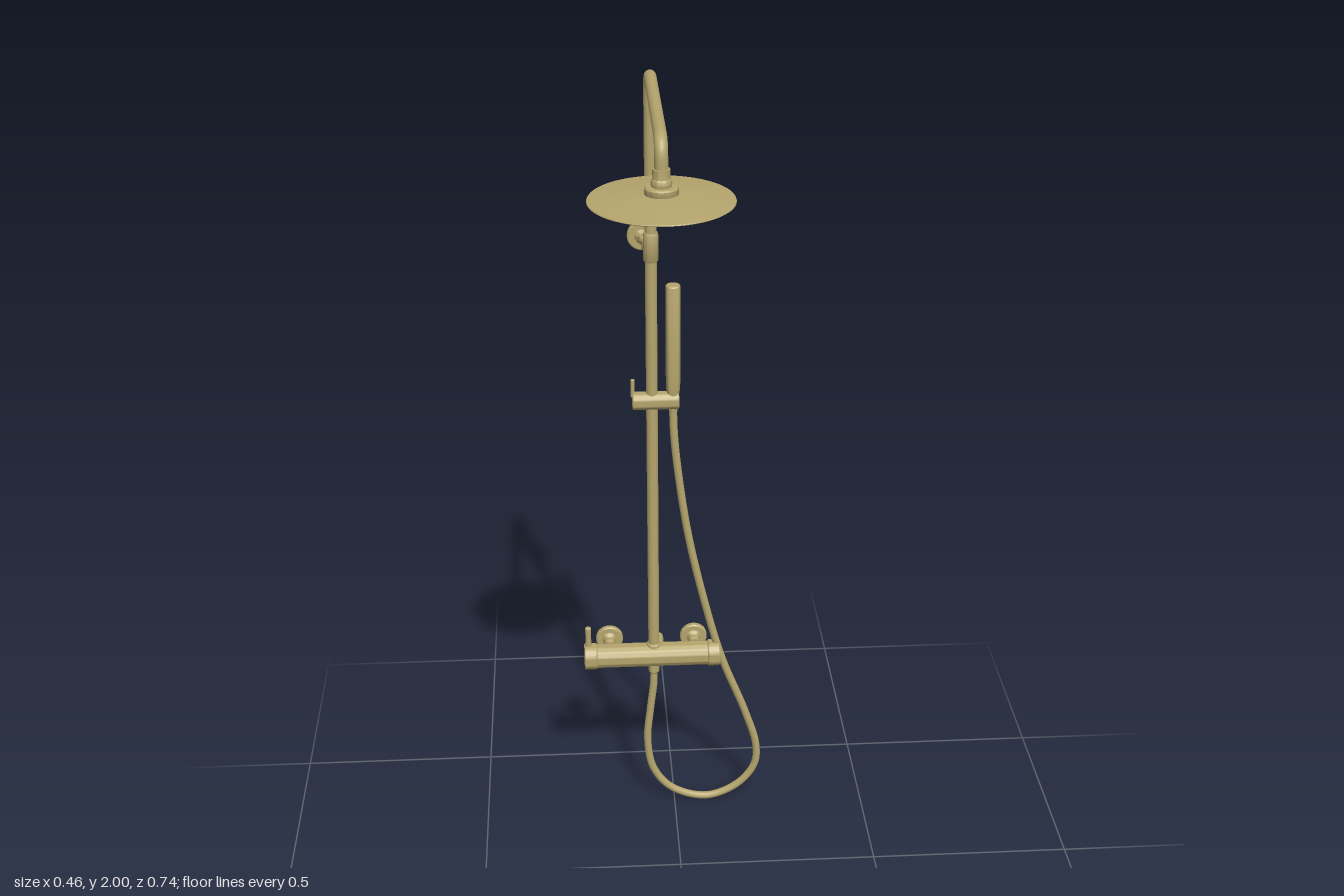
import * as THREE from 'three';
import { toCreasedNormals } from 'three/addons/utils/BufferGeometryUtils.js';

const V = (x, y, z) => new THREE.Vector3(x, y, z);
const PIPE_X = -0.053, AXIS_Z = -0.276, MIXER_Y = 0.468;

export function createModel() {
  const model = new THREE.Group();
  const brass = new THREE.MeshStandardMaterial({ color: 0xb5a56d });
  brass.name = 'brushedBrass';

  const add = (name, geometry, parent = model) => {
    const mesh = new THREE.Mesh(geometry, brass);
    mesh.name = name;
    parent.add(mesh);
    return mesh;
  };

  // Turned part: [radius, height] profile revolved from a base point along a direction
  const turned = (name, profile, base, dir = V(0, 1, 0), segments = 40, parent = model) => {
    const lathe = new THREE.LatheGeometry(profile.map(([r, h]) => new THREE.Vector2(r, h)), segments);
    const mesh = add(name, toCreasedNormals(lathe, 0.6), parent);
    mesh.position.copy(base);
    mesh.quaternion.setFromUnitVectors(V(0, 1, 0), dir.clone().normalize());
    return mesh;
  };
  const rod = (r, length, bevel = 0.002) => [
    [0, 0], [r - bevel, 0], [r, bevel], [r, length - bevel], [r - bevel, length], [0, length],
  ];

  // Riser pipe with rounded bends and overhead arm
  const headZ = 0.22, topY = 1.986, bend = 0.042;
  const arm = new THREE.CurvePath();
  const p = (y, z) => V(PIPE_X, y, z);
  arm.add(new THREE.LineCurve3(p(MIXER_Y, AXIS_Z), p(topY - bend, AXIS_Z)));
  arm.add(new THREE.QuadraticBezierCurve3(p(topY - bend, AXIS_Z), p(topY, AXIS_Z), p(topY, AXIS_Z + bend)));
  arm.add(new THREE.LineCurve3(p(topY, AXIS_Z + bend), p(topY, headZ - bend)));
  arm.add(new THREE.QuadraticBezierCurve3(p(topY, headZ - bend), p(topY, headZ), p(topY - bend, headZ)));
  arm.add(new THREE.LineCurve3(p(topY - bend, headZ), p(1.9, headZ)));
  add('riserPipe', new THREE.TubeGeometry(arm, 300, 0.014, 20));

  // Overhead shower head: shallow disc, collar, swivel and nozzles
  const head = new THREE.Group();
  head.name = 'showerHead';
  head.position.set(PIPE_X, 1.862, headZ);
  model.add(head);
  turned('headDisc', [[0, 0], [0.148, 0], [0.151, 0.002], [0.15, 0.004], [0.1, 0.009], [0.035, 0.017], [0, 0.017]],
    V(0, 0, 0), V(0, 1, 0), 72, head);
  turned('headCollar', [[0, 0.015], [0.034, 0.015], [0.035, 0.017], [0.035, 0.029], [0.032, 0.032], [0, 0.032]],
    V(0, 0, 0), V(0, 1, 0), 40, head);
  turned('headSwivel', [[0, 0.03], [0.02, 0.03], [0.022, 0.038], [0.02, 0.046], [0.018, 0.048], [0.018, 0.068], [0, 0.068]],
    V(0, 0, 0), V(0, 1, 0), 32, head);
  const nozzle = new THREE.CylinderGeometry(0.0035, 0.0022, 0.004, 8);
  for (let ring = 1; ring <= 7; ring++) {
    const count = ring * 8;
    for (let i = 0; i < count; i++) {
      const a = (i + (ring % 2) / 2) / count * Math.PI * 2;
      add('nozzle', nozzle, head).position.set(Math.cos(a) * ring * 0.0195, -0.0015, Math.sin(a) * ring * 0.0195);
    }
  }

  // Upper wall bracket: sleeve, angled stem and round wall flange
  turned('bracketSleeve', [[0.013, 0], [0.016, 0], [0.018, 0.004], [0.018, 0.064], [0.016, 0.07], [0.013, 0.07]],
    p(1.545, AXIS_Z));
  const stemStart = p(1.575, AXIS_Z), stemEnd = V(-0.07, 1.575, -0.362);
  const stemDir = stemEnd.clone().sub(stemStart);
  turned('bracketStem', [[0, 0], [0.018, 0], [0.018, 0.016], [0.011, 0.028], [0.01, 0.05], [0.014, 0.058],
    [0.014, 0.068], [0.011, 0.074], [0.018, 0.084], [0.018, 0.088]], stemStart, stemDir);
  const flange = rod(0.035, 0.016, 0.003);
  turned('bracketFlange', flange, V(-0.07, 1.575, -0.357), V(0, 0, -1));

  // Thermostatic mixer bar with end caps
  const alongX = V(1, 0, 0), toWall = V(0, 0, -1);
  turned('mixerBody', rod(0.031, 0.3), V(-0.208, MIXER_Y, AXIS_Z), alongX, 48);
  turned('temperatureKnob', rod(0.034, 0.034, 0.003), V(-0.232, MIXER_Y, AXIS_Z), alongX, 48);
  turned('flowKnob', rod(0.034, 0.032, 0.003), V(0.085, MIXER_Y, AXIS_Z), alongX, 48);
  turned('knobLever', rod(0.0075, 0.06), V(-0.221, 0.495, AXIS_Z), V(0, 1, 0), 20);

  // Wall unions behind the mixer
  for (const x of [-0.165, 0.055]) {
    turned('wallUnion', [[0, 0], [0.027, 0], [0.024, 0.006], [0.017, 0.012], [0.011, 0.02], [0.011, 0.026],
      [0.015, 0.034], [0.015, 0.042], [0.011, 0.05], [0.015, 0.056], [0.024, 0.06]], V(x, MIXER_Y - 0.002, -0.299), toWall);
    turned('wallFlange', flange, V(x, MIXER_Y - 0.002, -0.357), toWall);
  }
  turned('rearOutlet', rod(0.015, 0.077), V(-0.039, MIXER_Y - 0.008, -0.296), toWall, 28);

  // Pipe joint on top of the bar and hose outlet beneath it
  turned('riserJoint', [[0.013, 0], [0.018, 0], [0.018, 0.034], [0.016, 0.037], [0.013, 0.037]], p(MIXER_Y, AXIS_Z));
  turned('hoseOutlet', [[0, 0], [0.011, 0], [0.014, 0.004], [0.014, 0.03], [0, 0.03]], p(0.415, AXIS_Z), V(0, 1, 0), 24);

  // Sliding holder with clamp lever
  turned('sliderHolder', rod(0.022, 0.112, 0.002), V(-0.1, 1.19, AXIS_Z), alongX, 40);
  turned('sliderLever', rod(0.005, 0.046, 0.001), V(-0.099, 1.2, AXIS_Z), V(0, 1, 0), 16);

  // Slim hand shower with tapered base
  turned('handShower', [[0, 0], [0.0105, 0], [0.0115, 0.02], [0.0165, 0.06], [0.0175, 0.08], [0.0175, 0.322],
    [0.0155, 0.325], [0, 0.325]], V(-0.002, 1.16, AXIS_Z), V(0, 1, 0), 32);

  // Hanging hose loop
  const hosePath = [[-0.053, 0.43], [-0.054, 0.38], [-0.063, 0.3], [-0.071, 0.2], [-0.055, 0.105], [-0.005, 0.04],
    [0.085, 0.0105], [0.165, 0.043], [0.212, 0.105], [0.217, 0.17], [0.186, 0.28], [0.123, 0.45], [0.075, 0.63],
    [0.033, 0.83], [0.006, 1.03], [-0.001, 1.12], [-0.002, 1.19]];
  const hose = new THREE.CatmullRomCurve3(hosePath.map(([x, y]) => V(x, y, AXIS_Z - 0.001)));
  add('hose', new THREE.TubeGeometry(hose, 180, 0.0098, 14));

  return model;
}
